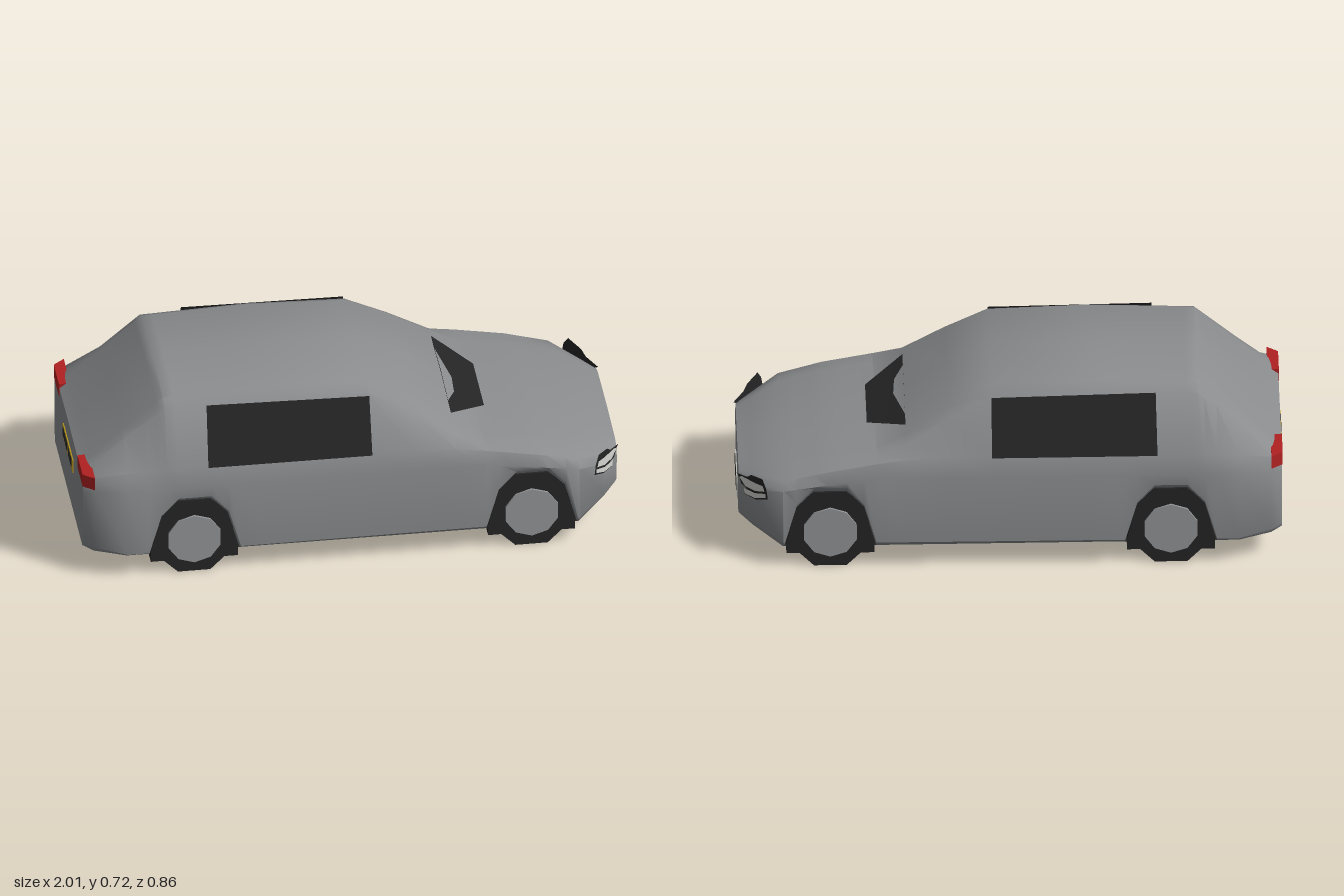
import * as THREE from 'three';
import { toCreasedNormals } from 'three/addons/utils/BufferGeometryUtils.js';

const mat = (name, color) => new THREE.MeshStandardMaterial({ name, color, side: THREE.DoubleSide });

// Upper body along x: x, top y, roof edge z and y, belt z and y
const UPPER = [
  [-1.0, .43, .32, .42, .36, .40],
  [-.96, .46, .32, .45, .38, .43],
  [-.84, .575, .31, .55, .40, .45],
  [-.69, .71, .32, .67, .41, .46],
  [-.30, .724, .325, .68, .41, .46],
  [.07, .71, .32, .67, .41, .46],
  [.23, .63, .335, .585, .41, .46],
  [.385, .525, .36, .485, .41, .45],
  [.49, .455, .36, .445, .41, .435],
  [.68, .43, .35, .415, .41, .40],
  [.84, .395, .34, .375, .40, .36],
  [.95, .35, .28, .335, .32, .32],
  [1.0, .33, .24, .32, .265, .31],
];
// Lower body along x: x, waist z and y, sill z and y, floor edge z and y
const LOWER = [
  [-1.0, .37, .36, .36, .14, .35, .12],
  [-.96, .40, .38, .39, .13, .37, .105],
  [-.84, .43, .385, .425, .11, .39, .085],
  [.49, .43, .385, .425, .11, .39, .08],
  [.84, .425, .33, .42, .11, .39, .08],
  [.95, .34, .29, .33, .155, .29, .117],
  [1.0, .275, .27, .265, .17, .23, .135],
];
const AXLES = [-.59, .665];
// Wheel arch: distance from the axle, height
const ARCH = [[-.17, 0], [-.125, .27], [-.06, .34], [.06, .34], [.125, .27], [.17, 0]];

// Row of a table interpolated at x
function rowAt(table, x) {
  const i = Math.max(1, table.findIndex(r => r[0] >= x));
  const a = table[i - 1], b = table[i], t = (x - a[0]) / (b[0] - a[0]);
  return a.map((v, k) => v + (b[k] - v) * t);
}

// Ring from the left floor edge over the roof to the right floor edge
function ring(x, arch) {
  const [, top, edgeZ, edgeY, beltZ, beltY] = rowAt(UPPER, x);
  const [, waistZ, waistY, sillZ, sillY, floorZ, floorY] = rowAt(LOWER, x);
  const half = [
    [x, Math.max(floorY, arch - .03), floorZ],
    [x, Math.max(sillY, arch), sillZ],
    [x, waistY, waistZ],
    [x, beltY, beltZ],
    [x, edgeY, edgeZ],
    [x, top + (edgeY - top) * .43, edgeZ * .86],
  ];
  return [...half, [x, top, 0], ...half.map(([, y, z]) => [x, y, -z]).reverse()];
}

// Skin over equally long rows of points, optionally closed at both ends
function skin(rows, caps) {
  const n = rows[0].length, index = [], last = (rows.length - 1) * n;
  for (let i = 0; i < rows.length - 1; i++) for (let j = 0; j < n - 1; j++) {
    const a = i * n + j, b = a + n;
    index.push(a, b, a + 1, b, b + 1, a + 1);
  }
  if (caps) for (let j = 1; j < n - 1; j++) {
    index.push(0, j, j + 1, last, last + j + 1, last + j);
  }
  const g = new THREE.BufferGeometry();
  g.setAttribute('position', new THREE.Float32BufferAttribute(rows.flat(2), 3));
  g.setIndex(index);
  return toCreasedNormals(g, .75);
}

const shapeOf = pts => new THREE.Shape(pts.map(p => new THREE.Vector2(...p)));

// Thin panel: a 2D outline placed in space by a rule
function panel(pts, place) {
  const g = new THREE.ShapeGeometry(shapeOf(pts)), p = g.attributes.position;
  for (let i = 0; i < p.count; i++) p.setXYZ(i, ...place(p.getX(i), p.getY(i)));
  g.computeVertexNormals();
  return g;
}

export function createModel() {
  const car = new THREE.Group();
  car.name = 'car';
  const paint = mat('body grey', 0x8a8c8e), dark = mat('dark trim', 0x252525);
  const hubGrey = mat('hub grey', 0x949698), lens = mat('lamp lens', 0xd4d4d0);
  const plateWhite = mat('white plate', 0xb8b8b2), plateYellow = mat('yellow plate', 0xb8981c);
  const red = mat('tail red', 0xb02222);
  const add = (name, geometry, material, parent = car) => {
    const m = new THREE.Mesh(geometry, material);
    m.name = name;
    parent.add(m);
    return m;
  };

  // Body shell with wheel arches cut into the lower sides
  const stations = UPPER.map(([x]) => {
    const axle = AXLES.find(a => Math.abs(x - a) < .17);
    return [x, axle === undefined ? 0 : rowAt(ARCH, x - axle)[1]];
  });
  for (const a of AXLES) for (const [dx, y] of ARCH) stations.push([a + dx, y]);
  stations.sort((a, b) => a[0] - b[0]);
  add('body', skin(stations.map(([x, arch]) => ring(x, arch)), true), paint);

  // Floor
  add('floor', skin(LOWER.map(r => [[r[0], r[6], -r[5]], [r[0], r[6], r[5]]]), false), dark);

  // Wheel wells and wheels
  for (const a of AXLES) {
    const end = a < 0 ? 'rear' : 'front';
    const well = new THREE.ExtrudeGeometry(shapeOf([[-.162, .055], [.162, .055], [.162, .1],
      [.12, .265], [.06, .312], [-.06, .312], [-.12, .265], [-.162, .1]]), { depth: .8, bevelEnabled: false });
    add(end + 'WheelWell', well.translate(a, 0, -.4), dark);
    for (const s of [1, -1]) {
      const wheel = new THREE.Group();
      wheel.name = end + (s > 0 ? 'LeftWheel' : 'RightWheel').replace(/Left|Right/, s > 0 ? 'Near' : 'Far');
      wheel.position.set(a, .145, s * .346);
      const tyre = new THREE.CylinderGeometry(.157, .157, .1, 8).rotateY(Math.PI / 8).rotateX(Math.PI / 2);
      add('tyre', toCreasedNormals(tyre, .3), dark, wheel);
      const hub = new THREE.CylinderGeometry(.102, .102, .02, 10).rotateX(Math.PI / 2);
      add('hub', hub, hubGrey, wheel).position.z = s * .052;
      car.add(wheel);
    }
  }

  // Windscreen
  add('windscreen', panel([[-.26, .515], [-.14, .457], [.14, .457], [.26, .515], [0, .532]],
    (u, v) => [.525 - .14 * (v - .457) / (.058 + .017 * (1 - Math.abs(u) / .26)), v, -u]), dark);

  // Mirrored side windows, headlights and tail lamps
  const lampParts = [
    ['headlightFrame', dark, 0, [[.395, .367], [.337, .353], [.314, .332], [.259, .319], [.275, .307],
      [.30, .252], [.36, .262], [.423, .298], [.415, .335]]],
    ['upperLens', lens, .004, [[.402, .342], [.365, .333], [.29, .323], [.279, .312],
      [.31, .291], [.36, .298], [.411, .323]]],
    ['lowerLens', lens, .004, [[.416, .317], [.36, .289], [.303, .279], [.307, .258], [.36, .268], [.418, .302]]],
  ];
  for (const s of [1, -1]) {
    const side = new THREE.Group();
    side.name = s > 0 ? 'nearSideDetails' : 'farSideDetails';
    side.scale.z = s;
    car.add(side);
    add('sideWindow', panel([[-.54, .46], [.07, .458], [.07, .668], [-.535, .68]],
      (u, v) => [u, v, .332 + (.68 - v) * .386]), dark, side);
    for (const [name, m, out, pts] of lampParts) {
      add(name, panel(pts.map(([z, y]) => [-z, y]), (u, v) => [1 + out + (u + .27) * .68, v, -u]), m, side);
    }
    const tail = new THREE.ExtrudeGeometry(shapeOf([[-1.002, -.24], [-.96, -.24], [-.96, -.405], [-1.002, -.372]]),
      { depth: .052, bevelEnabled: false });
    add('tailLamp', tail.rotateX(-Math.PI / 2).translate(0, .393, 0), red, side);
  }

  // Number plates with plain blocks
  for (const [name, m, x, y] of [['frontPlate', plateWhite, 1, .17], ['rearPlate', plateYellow, -1, .32]]) {
    add(name, new THREE.BoxGeometry(.008, .054, .256), m).position.set(x, y, 0);
    for (const z of [.104, .074, .044, .014, -.03, -.058, -.088]) {
      add(name + 'Block', new THREE.BoxGeometry(.008, .035, .018), dark)
        .position.set(x + Math.sign(x) * .002, y, z * Math.sign(x));
    }
  }
  return car;
}
